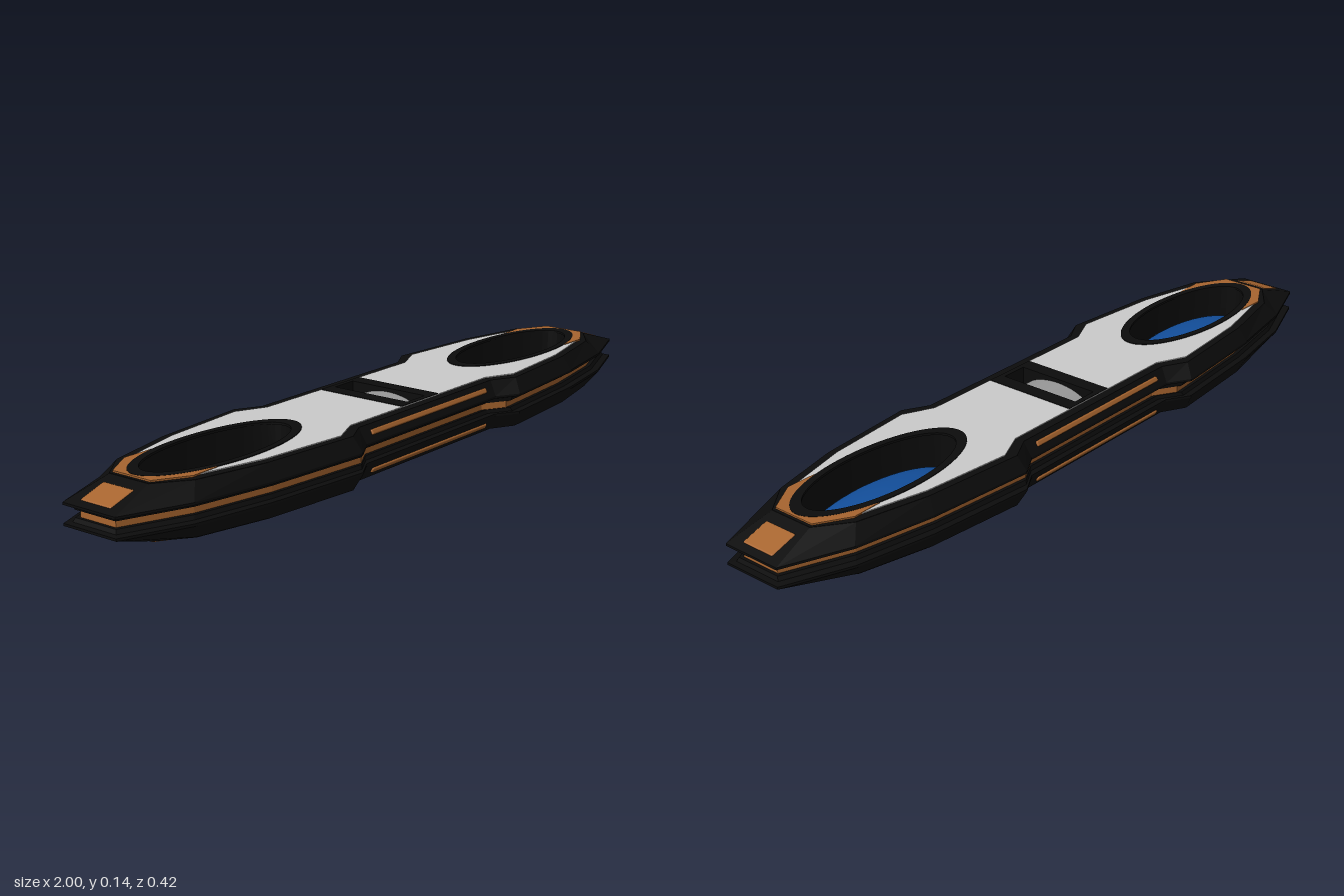
import * as THREE from 'three';
import { RoundedBoxGeometry } from 'three/addons/geometries/RoundedBoxGeometry.js';

const HEIGHT = 0.142, MID = HEIGHT / 2, LENS_X = 0.6;
const mat = (color, opts = {}) => new THREE.MeshStandardMaterial({ color, ...opts });
const black = mat(0x0c0c0c, { flatShading: true, side: THREE.DoubleSide });
const grey = mat(0xcccccc);
const rollerGrey = mat(0x999999);
const orange = mat(0xa8652f, { side: THREE.DoubleSide });
const blue = mat(0x134f9c);

// Quarter outlines [x, z], from the tip to the waist
const RIM = [[1, 0.08], [0.83, 0.145], [0.62, 0.183], [0.33, 0.208], [0.27, 0.172]];
const CROWN = [[0.88, 0.06], [0.8, 0.12], [0.61, 0.163], [0.34, 0.187], [0.275, 0.152]];
const PLATE = [[0.86, 0.052], [0.79, 0.1], [0.6, 0.145], [0.36, 0.167], [0.28, 0.13]];
const inset = (q, d) => q.map(([x, z]) => [x - d, z - d]);

// Mirrors a quarter outline into a full loop
function fullLoop(q) {
  const back = [...q].reverse();
  return [...q, ...back.map(([x, z]) => [-x, z]),
    ...q.map(([x, z]) => [-x, -z]), ...back.map(([x, z]) => [x, -z])];
}

// Open wall through levels of [y, quarter outline]
function loft(levels) {
  const pos = [], idx = [];
  const n = levels[0][1].length * 4;
  levels.forEach(([y, q]) => fullLoop(q).forEach(([x, z]) => pos.push(x, y, z)));
  for (let l = 0; l < levels.length - 1; l++) {
    for (let i = 0; i < n; i++) {
      const a = l * n + i, b = l * n + (i + 1) % n;
      idx.push(b, a, a + n, b, a + n, b + n);
    }
  }
  const g = new THREE.BufferGeometry();
  g.setAttribute('position', new THREE.Float32BufferAttribute(pos, 3));
  g.setIndex(idx);
  const flat = g.toNonIndexed();
  flat.computeVertexNormals();
  return flat;
}

function ellipse(Type, x, rx, rz) {
  return new Type().absellipse(x, 0, rx, rz, 0, Math.PI * 2, false);
}

const shapeOf = (points) => new THREE.Shape(points.map(([x, z]) => new THREE.Vector2(x, z)));

// Horizontal slab hanging down from the height top
function slab(shape, top, depth) {
  return new THREE.ExtrudeGeometry(shape, { depth, bevelEnabled: false, curveSegments: 40 })
    .rotateX(Math.PI / 2).translate(0, top, 0);
}

// Outline pierced by both lens wells and the centre slot
function pierced(q, rx, rz) {
  const s = shapeOf(fullLoop(q));
  s.holes.push(ellipse(THREE.Path, LENS_X, rx, rz), ellipse(THREE.Path, -LENS_X, rx, rz),
    shapeOf([[-0.07, -0.117], [-0.07, 0.117], [0.07, 0.117], [0.07, -0.117]]));
  return s;
}

function add(parent, name, geometry, material) {
  const m = new THREE.Mesh(geometry, material);
  m.name = name;
  parent.add(m);
  return m;
}

// One half of the casing, facing up
function createHalf(name) {
  const half = new THREE.Group();
  half.name = name;
  add(half, 'shellWall', loft([
    [0.08, inset(RIM, 0.035)], [0.08, inset(RIM, 0.018)], [0.09, inset(RIM, 0.014)],
    [0.092, RIM], [0.098, RIM], [0.136, CROWN],
  ]), black);
  add(half, 'shellTop', slab(pierced(CROWN, 0.24, 0.1), 0.137, 0.004), black);
  add(half, 'facePlate', slab(pierced(PLATE, 0.25, 0.103), 0.1395, 0.003), grey);

  // Black frame around the centre slot
  for (const s of [-1, 1]) {
    const bar = add(half, 'slotSideBar', new THREE.BoxGeometry(0.04, 0.07, 0.25), black);
    bar.position.set(s * 0.056, 0.106, 0);
    const end = add(half, 'slotEndBar', new THREE.BoxGeometry(0.15, 0.07, 0.014), black);
    end.position.set(0, 0.106, s * 0.122);

    // Accent strip on the waist flank
    const strip = add(half, 'sideStrip', new RoundedBoxGeometry(0.48, 0.014, 0.01, 2, 0.004), orange);
    strip.position.set(0, 0.118, s * 0.1615);
    strip.rotation.x = -s * 0.48;
  }

  // Lens surround and tip accents, repeated at each end
  for (const turn of [0, Math.PI]) {
    const end = new THREE.Group();
    end.name = 'endTrim';
    end.rotation.y = turn;
    half.add(end);

    const ring = ellipse(THREE.Shape, LENS_X, 0.265, 0.112);
    ring.holes.push(ellipse(THREE.Path, LENS_X, 0.232, 0.095));
    add(end, 'lensRing', slab(ring, 0.1415, 0.006), black);

    const wall = add(end, 'wellWall',
      new THREE.CylinderGeometry(1, 1, 0.07, 48, 1, true), black);
    wall.scale.set(0.236, 1, 0.098);
    wall.position.set(LENS_X, 0.105, 0);

    const collar = shapeOf([[0.71, 0.104], [0.79, 0.106], [0.872, 0.058],
      [0.872, -0.058], [0.79, -0.106], [0.71, -0.104]]);
    collar.absellipse(LENS_X, 0, 0.25, 0.102, -0.9, 0.9, false);
    add(end, 'lensCollar', slab(collar, 0.141, 0.006), orange);

    const tab = add(end, 'tipTab', new RoundedBoxGeometry(0.075, 0.01, 0.094, 3, 0.0045), orange);
    tab.position.set(0.944, 0.113, 0);
    tab.rotation.z = -0.31;
  }
  return half;
}

export function createModel() {
  const model = new THREE.Group();
  model.name = 'device';

  // Matching upper and lower casing
  const upper = createHalf('upperHalf');
  const lower = createHalf('lowerHalf');
  lower.scale.y = -1;
  lower.position.y = HEIGHT;
  model.add(upper, lower);

  // Accent band in the seam between the halves
  const band = inset(RIM, 0.026);
  add(model, 'seamBand', loft([[0.056, band], [0.086, band]]), orange);

  // Flattened roller through the centre slot
  const roller = add(model, 'centreRoller',
    new THREE.CylinderGeometry(1, 1, 0.08, 48).rotateZ(Math.PI / 2), rollerGrey);
  roller.scale.set(1, 0.06, 0.116);
  roller.position.y = MID;

  // Sunken lenses with dark floors beneath
  for (const s of [-1, 1]) {
    const floor = add(model, 'wellFloor', new THREE.CylinderGeometry(1, 1, 0.008, 48), black);
    floor.scale.set(0.24, 1, 0.1);
    floor.position.set(s * LENS_X, 0.034, 0);

    const lens = add(model, 'lens',
      new THREE.SphereGeometry(1, 48, 16, 0, Math.PI * 2, 0, Math.PI / 2), blue);
    lens.scale.set(0.235, 0.047, 0.097);
    lens.position.set(s * LENS_X, 0.038, 0);
  }
  return model;
}
